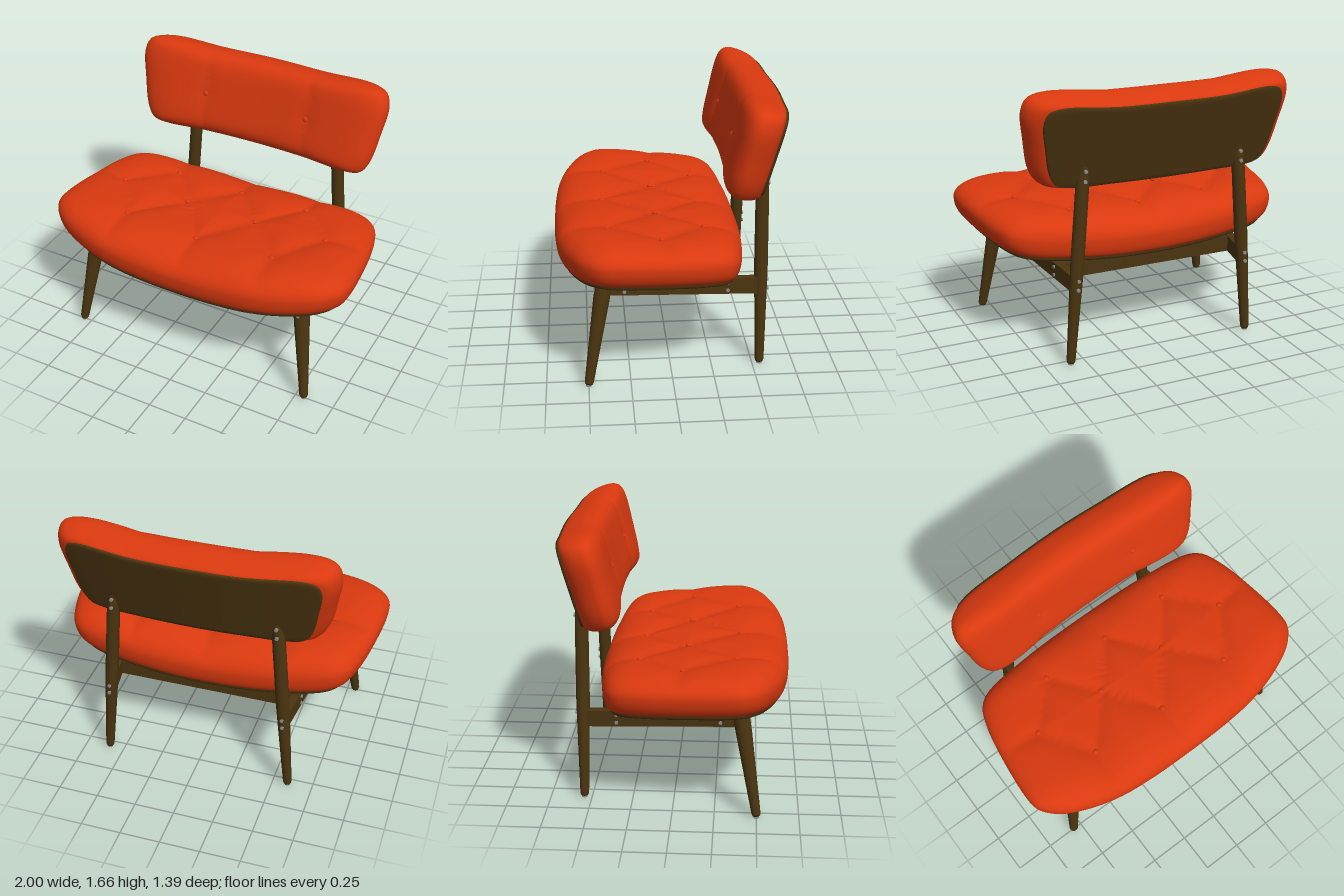
import * as THREE from 'three';

const V = (x, y, z) => new THREE.Vector3(x, y, z);

// Closed smooth outline from its right half (listed bottom to top), mirrored to the left.
function outlinePoints(half, n) {
  const left = half.filter(p => p[0] > 0).map(p => [-p[0], p[1]]).reverse();
  const pts = half.concat(left).map(p => V(p[0], p[1], 0));
  return new THREE.CatmullRomCurve3(pts, true, 'centripetal').getSpacedPoints(n).slice(0, n);
}

// Rings of one outline, scaled about (0, cv) and stacked; height() gives the level of domed rings.
function loft(half, cv, rows, place, height) {
  const n = 180, ring = outlinePoints(half, n), pos = [], idx = [], top = [];
  rows.forEach(([s, h], j) => ring.forEach((p, i) => {
    const x = p.x * s, v = cv + (p.y - cv) * s;
    const side = p.x ** 2 / (p.x ** 2 + (p.y - cv) ** 2);
    const level = h === null ? height(x, v, s, side) : h;
    if (h === null) top.push([x, v, level]);
    pos.push(...place(x, v, level).toArray());
    if (j < rows.length - 1) {
      const a = j * n + i, b = j * n + (i + 1) % n;
      idx.push(a, b, a + n, b, b + n, a + n);
    }
  }));
  const geometry = new THREE.BufferGeometry();
  geometry.setAttribute('position', new THREE.Float32BufferAttribute(pos, 3));
  geometry.setIndex(idx);
  geometry.computeVertexNormals();
  // point on the domed side above (x, v)
  const at = (x, v) => {
    let best = null, d = Infinity;
    for (const t of top) {
      const e = Math.hypot(t[0] - x, t[1] - v);
      if (e < d) { d = e; best = t; }
    }
    return place(x, v, best[2]);
  };
  return { geometry, at };
}

// Rounded rim up to the widest line, then the domed rings.
function cushionRows(rim, low, high) {
  const rows = [];
  for (let k = 0; k < 8; k++) {
    const a = k / 8 * Math.PI / 2;
    rows.push([rim + (1 - rim) * Math.sin(a), high - (high - low) * Math.cos(a)]);
  }
  for (let k = 0; k <= 34; k++) rows.push([Math.cos(k / 34 * Math.PI / 2), null]);
  return rows;
}

// Thin board following the underside of a cushion.
function boardRows(scale, low, thick) {
  const rows = [];
  for (let k = 0; k <= 10; k++) rows.push([scale * k / 10, low]);
  rows.push([scale + 0.008, low + thick * 0.4], [scale + 0.008, low + thick]);
  return rows;
}

function segmentDistance(x, y, [ax, ay, bx, by]) {
  const dx = bx - ax, dy = by - ay;
  const t = THREE.MathUtils.clamp(((x - ax) * dx + (y - ay) * dy) / (dx * dx + dy * dy), 0, 1);
  return Math.hypot(x - ax - dx * t, y - ay - dy * t);
}

export function createModel() {
  const model = new THREE.Group();
  const material = (name, color) => new THREE.MeshStandardMaterial({ name, color });
  const fabric = material('orange red fabric', 0xd9390f);
  const wood = material('dark wood', 0x4a3410);
  const metal = material('grey metal', 0x8c8c8c);

  const add = (name, geometry, mat) => {
    const mesh = new THREE.Mesh(geometry, mat);
    mesh.name = name;
    model.add(mesh);
    return mesh;
  };
  const aim = (mesh, dir) => mesh.quaternion.setFromUnitVectors(V(0, 1, 0), dir.clone().normalize());
  const screw = (p, dir) => {
    const m = add('screw', new THREE.CylinderGeometry(0.011, 0.011, 0.02, 12), metal);
    m.position.copy(p);
    aim(m, dir);
  };
  const button = (p, dir) => {
    const m = add('button', new THREE.SphereGeometry(0.018, 16, 10), fabric);
    m.scale.y = 0.6;
    m.position.copy(p);
    aim(m, dir);
  };

  // Seat cushion: v runs towards the back
  const seatHalf = [[0, -0.685], [0.3, -0.68], [0.52, -0.66], [0.72, -0.61], [0.9, -0.525], [0.985, -0.43],
    [1, -0.34], [0.97, 0], [0.93, 0.2], [0.88, 0.32], [0.8, 0.38], [0.45, 0.44], [0, 0.46]];
  const seatPlace = (x, v, h) => V(x, 0.61 - 0.045 * v + 0.08 * x * x + h, -v);
  const tufts = [[0, -0.39], [0.5, -0.37], [0.24, -0.07], [0.71, -0.06], [0, 0.21], [0.46, 0.21]];
  const creases = [[0, 2], [1, 2], [1, 3], [2, 4], [2, 5], [3, 5]].map(([a, b]) => [...tufts[a], ...tufts[b]]);
  creases.push([0, -0.39, 0, -0.64], [0.5, -0.37, 0.5, -0.62], [0.71, -0.06, 0.96, -0.03],
    [0, 0.21, 0, 0.42], [0.46, 0.21, 0.48, 0.4]);
  const seatHeight = (x, v, s, side) => {
    const t = Math.sqrt(1 - s ** (4 + 4 * side));
    const ax = Math.abs(x);
    const line = Math.min(...creases.map(c => segmentDistance(ax, v, c)));
    const dot = Math.min(...tufts.map(p => Math.hypot(ax - p[0], v - p[1])));
    const dip = 0.034 * Math.exp(-line / 0.08) + 0.01 * Math.exp(-dot / 0.03);
    return 0.11 + t * (0.17 - 0.03 * x * x - dip * t);
  };
  const seat = loft(seatHalf, -0.1, cushionRows(0.93, 0, 0.11), seatPlace, seatHeight);
  add('seatCushion', seat.geometry, fabric);
  add('seatShell', loft(seatHalf, -0.1, boardRows(0.93, -0.02, 0.025), seatPlace).geometry, wood);
  for (const [x, v] of tufts)
    for (const s of x ? [1, -1] : [1]) button(seat.at(s * x, v).add(V(0, 0.004, 0)), V(0, 1, 0));

  // Plate under the seat
  add('undersidePlate', new THREE.BoxGeometry(0.66, 0.006, 0.4), metal).position.set(0, 0.587, 0.04);

  // Backrest: v runs up the leaning pad, h points forward
  const tilt = 0.27, c = Math.cos(tilt), sn = Math.sin(tilt);
  const backHalf = [[0, -0.285], [0.36, -0.285], [0.65, -0.285], [0.735, -0.262], [0.78, -0.19], [0.82, 0],
    [0.843, 0.18], [0.815, 0.257], [0.73, 0.285], [0.36, 0.266], [0, 0.266]];
  const backPlace = (x, v, h) => V(x, 1.38 + v * c + h * sn, -0.51 - v * sn + h * c + 0.11 * x * x);
  const backHeight = (x, v, s) => {
    const t = Math.sqrt(1 - s ** 6), d = Math.abs(Math.abs(x) - 0.35);
    const dot = Math.hypot(d, v + 0.015);
    return t * (0.13 - t * (0.012 * Math.exp(-d / 0.05) + 0.008 * Math.exp(-dot / 0.03)));
  };
  const back = loft(backHalf, 0, cushionRows(0.89, -0.12, 0), backPlace, backHeight);
  add('backCushion', back.geometry, fabric);
  add('backBoard', loft(backHalf, 0, boardRows(0.89, -0.135, 0.02), backPlace).geometry, wood);
  for (const s of [1, -1]) button(back.at(s * 0.35, -0.015), V(0, sn, c));

  // Tapered round leg from foot to top; profile holds [radius, fraction of length]
  const leg = (name, foot, top, profile) => {
    const dir = top.clone().sub(foot), len = dir.length();
    const pts = profile.map(([r, f]) => new THREE.Vector2(r, f * len));
    const m = add(name, new THREE.LatheGeometry(pts, 24), wood);
    m.position.copy(foot);
    aim(m, dir);
    const glide = add('footGlide', new THREE.CylinderGeometry(0.017, 0.017, 0.02, 16), metal);
    glide.position.set(foot.x, 0.01, foot.z);
  };
  const frontProfile = [[0, 0], [0.022, 0], [0.027, 0.02], [0.048, 0.8], [0.049, 0.985], [0.044, 1], [0, 1]];
  const rearProfile = [[0, 0], [0.022, 0], [0.027, 0.012], [0.038, 0.38], [0.041, 0.5], [0.04, 0.85],
    [0.033, 0.98], [0.026, 1], [0, 1]];

  for (const s of [1, -1]) {
    leg('frontLeg', V(s * 0.805, 0.012, 0.5), V(s * 0.715, 0.65, 0.395), frontProfile);
    leg('rearLeg', V(s * 0.595, 0.012, -0.545), V(s * 0.497, 1.26, -0.547), rearProfile);

    // Side rail sloping from the front leg to the rear leg
    const a = V(s * 0.68, 0.585, 0.38), b = V(s * 0.56, 0.512, -0.53);
    const rail = add('sideRail', new THREE.BoxGeometry(0.05, 0.1, a.distanceTo(b)), wood);
    rail.position.copy(a).add(b).multiplyScalar(0.5);
    rail.lookAt(a);

    // Screws on the rails and legs
    for (const z of [0.28, -0.34]) {
      const p = a.clone().lerp(b, (0.38 - z) / 0.91);
      for (const dy of [0.025, -0.025]) screw(V(p.x + s * 0.023, p.y + dy, z), V(s, 0, -0.13));
    }
    for (const y of [0.63, 0.58]) screw(V(s * (0.805 - 0.141 * y), y, 0.545 - 0.165 * y), V(0, 0.16, 1));
    for (const y of [0.54, 0.485, 1.2, 1.14]) screw(V(s * (0.595 - 0.078 * y), y, -0.583), V(0, 0, -1));
  }

  // Cross rails between the side rails
  add('frontCrossRail', new THREE.BoxGeometry(1.32, 0.095, 0.05), wood).position.set(0, 0.578, 0.28);
  add('rearCrossRail', new THREE.BoxGeometry(1.14, 0.095, 0.05), wood).position.set(0, 0.522, -0.34);

  return model;
}
